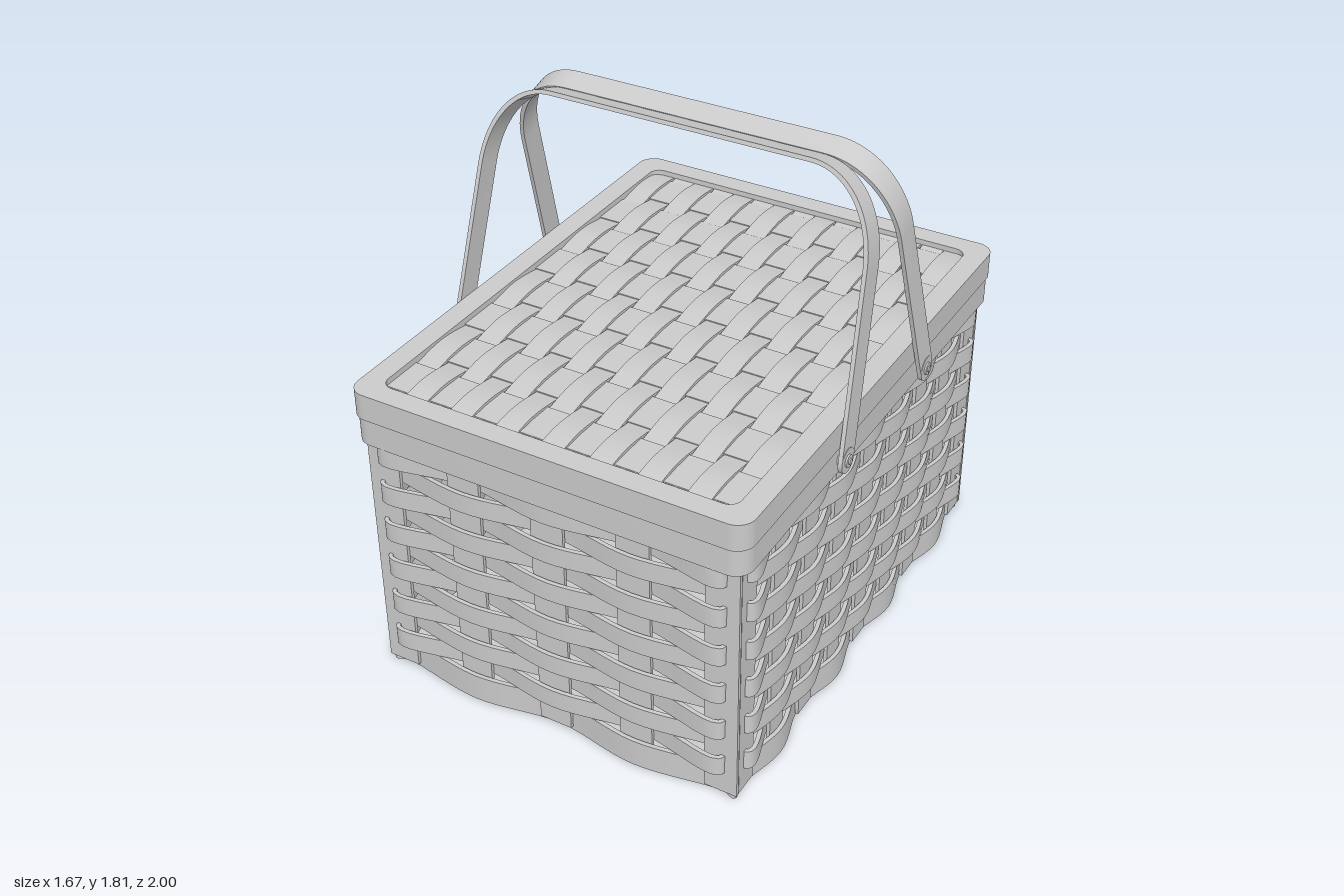
import * as THREE from 'three';
import { toCreasedNormals } from 'three/addons/utils/BufferGeometryUtils.js';

const material = new THREE.MeshStandardMaterial({ color: 0xcccccc, side: THREE.DoubleSide });
const HALF_W = 0.65, HALF_D = 0.855;   // centre line of the woven walls
const WAVE = 0.02;                     // how far a weaver swings in and out

function add(parent, name, geometry, x = 0, y = 0, z = 0) {
  const mesh = new THREE.Mesh(geometry, material);
  mesh.name = name;
  mesh.position.set(x, y, z);
  parent.add(mesh);
  return mesh;
}

function extrude(shape, depth, crease = 0.6) {
  const g = new THREE.ExtrudeGeometry(shape, { depth, bevelEnabled: false, curveSegments: 20 });
  return toCreasedNormals(g, crease);
}

// Extrude a plan outline upwards
const extrudeUp = (shape, height) => extrude(shape, height).rotateX(-Math.PI / 2);

function roundedRect(w, d, r) {
  const s = new THREE.Shape();
  s.absarc(w - r, d - r, r, 0, Math.PI / 2);
  s.absarc(-w + r, d - r, r, Math.PI / 2, Math.PI);
  s.absarc(-w + r, -d + r, r, Math.PI, Math.PI * 1.5);
  s.absarc(w - r, -d + r, r, Math.PI * 1.5, Math.PI * 2);
  s.closePath();
  return s;
}

function frame(w, d, innerW, innerD, height) {
  const s = roundedRect(w, d, 0.06);
  s.holes.push(roundedRect(innerW, innerD, 0.04));
  return extrudeUp(s, height);
}

// Stake positions around the basket: four sides, each with its outward normal
function stakeRing() {
  const list = [];
  const side = (count, pitch, place, nx, nz) => {
    for (let i = 0; i < count; i++) {
      const k = i - (count - 1) / 2;
      list.push({ p: place(k * pitch), n: [nx, nz], inward: k % 2 === 0 });
    }
    const last = list[list.length - 1];
    const sx = Math.sign(last.p[0]), sz = Math.sign(last.p[1]);
    list.push({ p: [sx * (HALF_W - 0.022), sz * (HALF_D - 0.022)],
      n: [sx * 0.7, sz * 0.7], inward: false, corner: true });
  };
  side(5, 0.3, t => [-t, HALF_D], 0, 1);
  side(9, 0.2, t => [-HALF_W, -t], -1, 0);
  side(5, 0.3, t => [t, -HALF_D], 0, -1);
  side(9, 0.2, t => [HALF_W, t], 1, 0);
  return list;
}

// Wavy outline of one weaver, offset sideways by half its thickness
function weaverOutline(ring, flip, offset) {
  const curve = new THREE.CatmullRomCurve3(ring.map(({ p, n, inward }) => {
    const a = (inward ? -WAVE : WAVE) * flip;
    return new THREE.Vector3(p[0] + n[0] * a, p[1] + n[1] * a, 0);
  }), true);
  const points = [];
  const count = ring.length * 8;
  for (let i = 0; i < count; i++) {
    const p = curve.getPoint(i / count), t = curve.getTangent(i / count);
    points.push(new THREE.Vector2(p.x + t.y * offset, p.y - t.x * offset));
  }
  return points;
}

function buildBody(parent) {
  const ring = stakeRing();
  const bands = [1, -1].map(flip => {
    const s = new THREE.Shape(weaverOutline(ring, flip, 0.007));
    s.holes.push(new THREE.Path(weaverOutline(ring, flip, -0.007)));
    return extrudeUp(s, 0.069);
  });
  for (let i = 0; i < 12; i++) add(parent, 'weaver', bands[i % 2], 0, 0.03 + i * 0.0733, 0);
  // Base plate follows the lowest weaver
  add(parent, 'basePlate', extrudeUp(new THREE.Shape(weaverOutline(ring, 1, 0.007)), 0.03));
  for (const { p, n, corner } of ring) {
    if (corner) continue;
    const g = n[0] ? new THREE.BoxGeometry(0.012, 0.92, 0.09) : new THREE.BoxGeometry(0.115, 0.92, 0.012);
    add(parent, 'stake', g, p[0], 0.48, p[1]);
  }
  add(parent, 'rim', frame(0.685, 0.89, 0.615, 0.82, 0.092), 0, 0.903, 0);
}

// Long lid strip, waving over and under the cross strips
function lidStrip(flip, pitch) {
  const top = [], bottom = [];
  const n = 96, half = 0.825;
  for (let i = 0; i <= n; i++) {
    const z = -half + (2 * half * i) / n;
    const y = flip * 0.011 * Math.sin((Math.PI * z) / pitch);
    top.push(new THREE.Vector2(z, y + 0.005));
    bottom.unshift(new THREE.Vector2(z, y - 0.005));
  }
  return extrude(new THREE.Shape([...top, ...bottom]), 0.078).translate(0, 0, -0.039).rotateY(-Math.PI / 2);
}

function buildLid(parent) {
  const lid = new THREE.Group();
  lid.name = 'lid';
  parent.add(lid);
  add(lid, 'lidFrame', frame(0.69, 0.895, 0.615, 0.82, 0.092), 0, 0.998, 0);
  const pitch = 0.205, y = 1.066;
  const strips = [lidStrip(1, pitch), lidStrip(-1, pitch)];
  for (let i = 0; i < 15; i++) add(lid, 'lidStrip', strips[i % 2], (i - 7) * 0.082, y, 0);
  for (let i = 0; i < 8; i++) {
    add(lid, 'lidCrossStrip', new THREE.BoxGeometry(1.24, 0.008, 0.15), 0, y, (i - 3.5) * pitch);
  }
}

// Arched strap profile; t shifts the line outwards
function strapShape() {
  const s = new THREE.Shape();
  const t = 0.007, h = 0.88, mid = h - 0.007;
  s.moveTo(0.705 + t, 0);
  s.lineTo(0.675 + t, 0.6);
  s.bezierCurveTo(0.665 + t, 0.76, 0.58, h, 0.45, h);
  s.lineTo(-0.45, h);
  s.bezierCurveTo(-0.58, h, -0.665 - t, 0.76, -0.675 - t, 0.6);
  s.lineTo(-0.705 - t, 0);
  s.lineTo(-0.705 + t, 0);
  s.lineTo(-0.675 + t, 0.6);
  s.bezierCurveTo(-0.665 + t, 0.75, -0.57, mid - t, -0.45, mid - t);
  s.lineTo(0.45, mid - t);
  s.bezierCurveTo(0.57, mid - t, 0.665 - t, 0.75, 0.675 - t, 0.6);
  s.lineTo(0.705 - t, 0);
  s.closePath();
  return s;
}

function buildHandles(parent) {
  const width = 0.085;
  const strap = extrude(strapShape(), width).translate(0, 0, -width / 2);
  const disc = (r, len) => new THREE.CylinderGeometry(r, r, len, 24).rotateZ(Math.PI / 2);
  for (const s of [1, -1]) {
    const handle = new THREE.Group();
    handle.name = s > 0 ? 'frontHandle' : 'backHandle';
    handle.position.set(0, 0.95, s * 0.29);
    handle.rotation.x = -s * 0.285;
    parent.add(handle);
    add(handle, 'strap', strap);
    for (const x of [-1, 1]) {
      add(handle, 'strapEnd', disc(width / 2, 0.014), x * 0.705);
      add(handle, 'rivetWasher', disc(0.021, 0.05), x * 0.693);
      add(handle, 'rivetHead', disc(0.01, 0.05), x * 0.698);
    }
  }
}

export function createModel() {
  const model = new THREE.Group();
  model.name = 'picnicBasket';
  // The whole basket stands turned a little
  const basket = new THREE.Group();
  basket.name = 'basket';
  basket.rotation.y = 0.19;
  model.add(basket);
  buildBody(basket);
  buildLid(basket);
  buildHandles(basket);
  return model;
}
